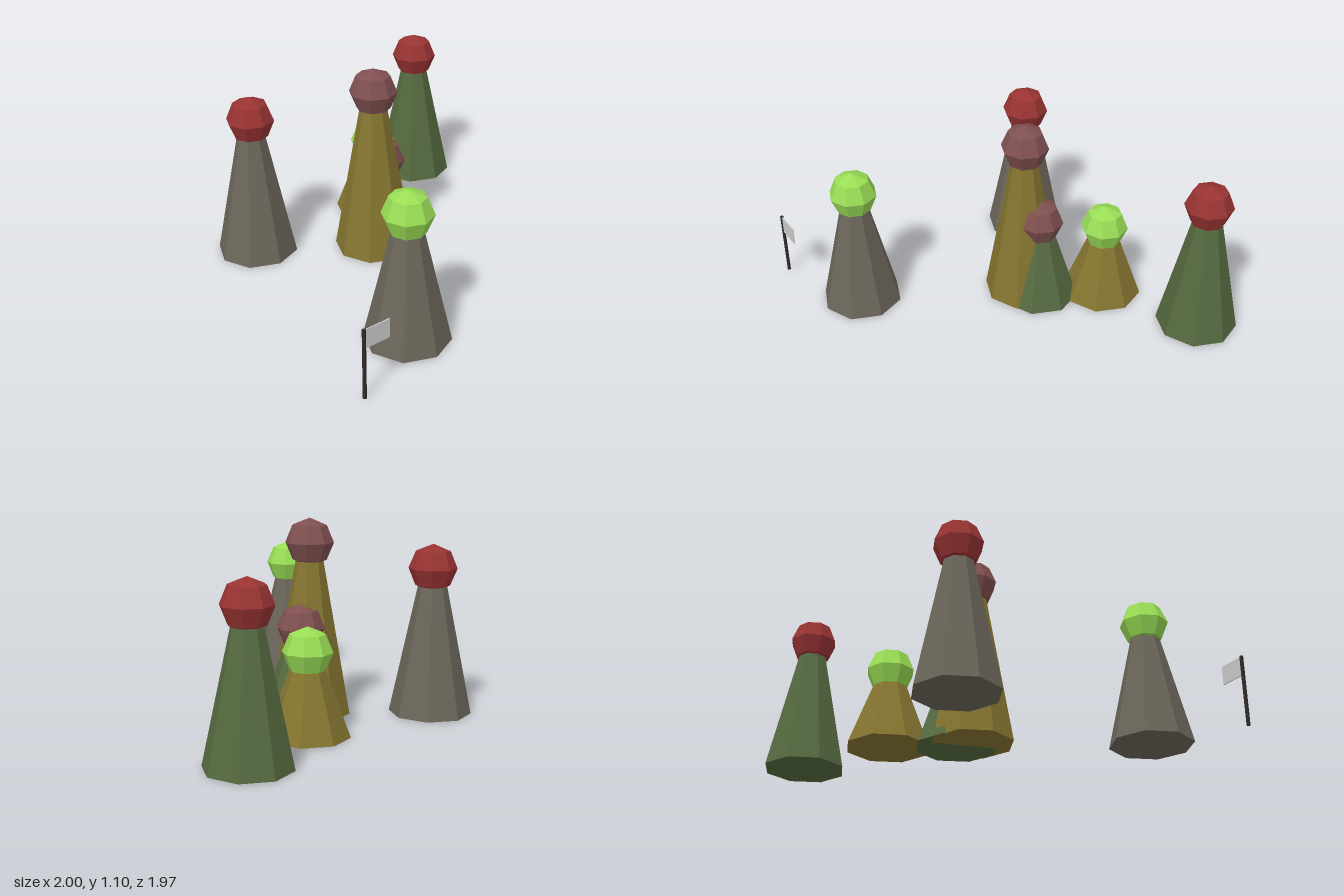
import * as THREE from 'three';

const BASE_R = 0.23, TOP_R = 0.06, CAP_R = 0.135;

function material(name, color) {
  const m = new THREE.MeshStandardMaterial({ color });
  m.name = name;
  return m;
}

function addMesh(parent, name, geometry, mat, x, y, z) {
  // unshared vertices with face normals give the faceted look
  const g = geometry.index ? geometry.toNonIndexed() : geometry;
  g.computeVertexNormals();
  const mesh = new THREE.Mesh(g, mat);
  mesh.name = name;
  mesh.position.set(x, y, z);
  parent.add(mesh);
  return mesh;
}

export function createModel() {
  const model = new THREE.Group();
  model.name = 'towersAndFlag';

  const stone = material('stone grey', 0x6b665a);
  const ochre = material('ochre', 0x857530);
  const moss = material('moss green', 0x566a40);
  const red = material('red', 0x993333);
  const mauve = material('mauve', 0x805050);
  const lime = material('lime', 0x99dd55);
  const dark = material('dark pole', 0x2e2a28);
  const cloth = material('flag grey', 0xcccccc);

  // Tapered octagonal towers: x, z, height of cap centre, body, cap
  const towers = [
    [-0.62, -0.515, 0.82, stone, red],
    [-0.515, 0.72, 0.72, stone, lime],
    [-0.06, -0.125, 0.965, ochre, mauve],
    [0.03, -0.17, 0.505, moss, mauve],
    [0.22, -0.49, 0.45, ochre, lime],
    [0.765, -0.755, 0.795, moss, red],
  ];
  for (const [x, z, h, bodyMat, capMat] of towers) {
    const tower = new THREE.Group();
    tower.name = 'tower';
    tower.position.set(x, 0, z);
    addMesh(tower, 'towerBody', new THREE.CylinderGeometry(TOP_R, BASE_R, h, 8), bodyMat, 0, h / 2, 0);
    addMesh(tower, 'towerCap', new THREE.SphereGeometry(CAP_R, 8, 4), capMat, 0, h, 0);
    model.add(tower);
  }

  // Flag on a thin pole
  const flag = new THREE.Group();
  flag.name = 'flag';
  flag.position.set(-0.99, 0, 0.975);
  addMesh(flag, 'flagPole', new THREE.CylinderGeometry(0.01, 0.01, 0.39, 8), dark, 0, 0.195, 0);
  addMesh(flag, 'flagCloth', new THREE.BoxGeometry(0.15, 0.105, 0.006), cloth, 0.077, 0.335, 0);
  model.add(flag);

  return model;
}
